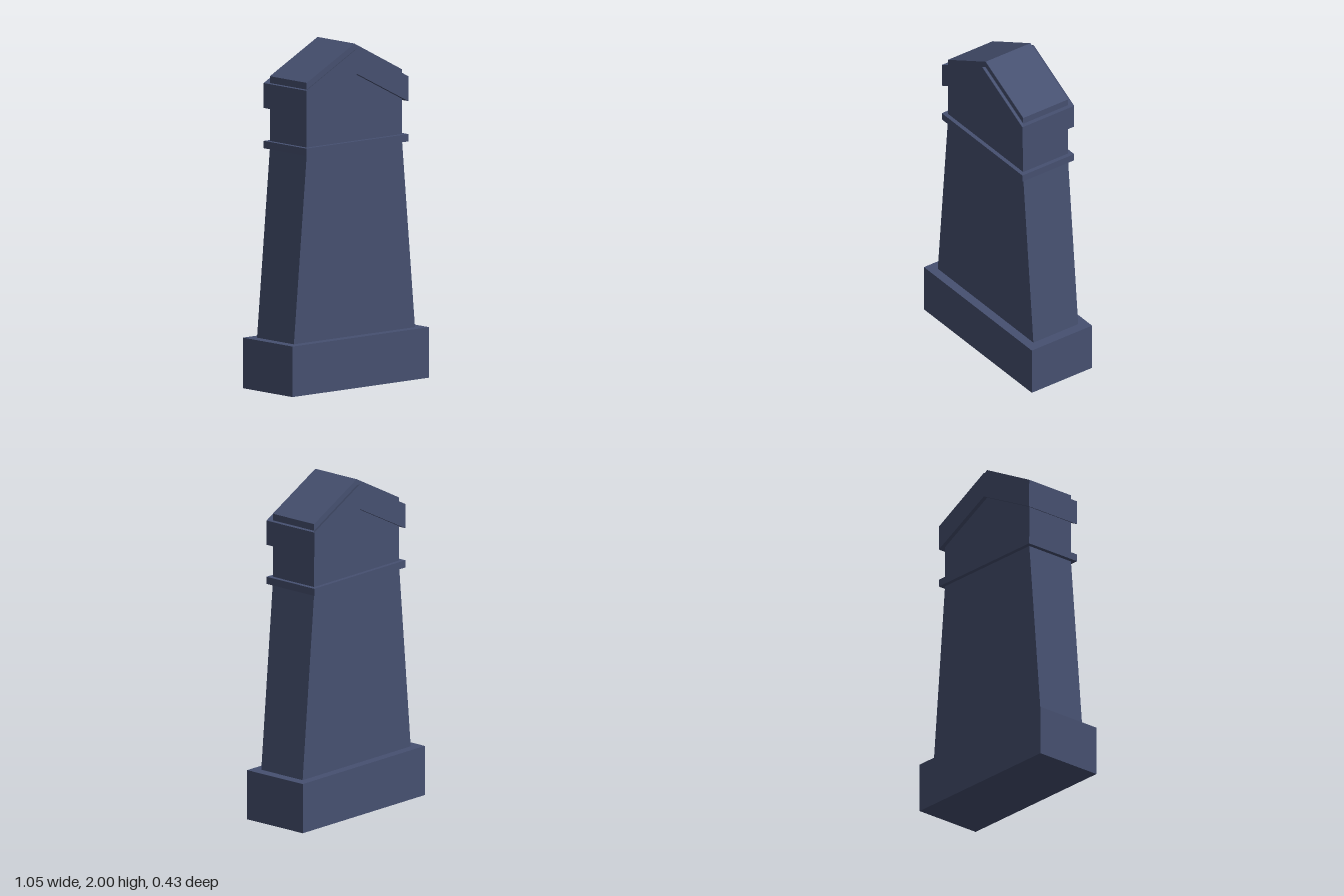
import * as THREE from 'three';

export function createModel() {
  const group = new THREE.Group();
  const stone = new THREE.MeshStandardMaterial({ color: 0x465070 });
  stone.name = 'slateBlueStone';

  const add = (name, geometry, y = 0) => {
    const mesh = new THREE.Mesh(geometry, stone);
    mesh.name = name;
    mesh.position.y = y;
    group.add(mesh);
  };

  // Plinth block
  add('plinth', new THREE.BoxGeometry(1.052, 0.295, 0.43), 0.1475);

  // Tapered slab with an upright neck and a gabled top
  const half = [[0.466, 0.295], [0.367, 1.39], [0.367, 1.81]];
  const outline = [...half, [0, 2], ...half.map(([x, y]) => [-x, y]).reverse()];
  const shape = new THREE.Shape(outline.map(([x, y]) => new THREE.Vector2(x, y)));
  const slab = new THREE.ExtrudeGeometry(shape, { depth: 0.32, bevelEnabled: false });
  slab.translate(0, 0, -0.16);
  add('slab', slab);

  // Narrow band around the neck
  add('neckBand', new THREE.BoxGeometry(0.786, 0.043, 0.37), 1.411);

  // Gabled cornice: a ring whose four edge loops follow the roof slope
  const plan = [[1, 1], [1, -1], [0, -1], [-1, -1], [-1, 1], [0, 1]];
  const loop = (w, d, peak, slope) =>
    plan.map(([x, z]) => [x * w, peak - slope * Math.abs(x * w), z * d]);
  const loops = [
    loop(0.365, 0.158, 1.825, 0.51), // inner bottom
    loop(0.393, 0.185, 1.825, 0.51), // outer bottom
    loop(0.393, 0.185, 1.975, 0.522), // outer top
    loop(0.365, 0.158, 1.961, 0.522), // inner top
  ];
  const points = [];
  for (let k = 0; k < 3; k++) {
    for (let i = 0; i < 6; i++) {
      const j = (i + 1) % 6;
      const [a, b, c, d] = [loops[k][i], loops[k][j], loops[k + 1][j], loops[k + 1][i]];
      points.push(...a, ...b, ...c, ...a, ...c, ...d);
    }
  }
  const cornice = new THREE.BufferGeometry();
  cornice.setAttribute('position', new THREE.Float32BufferAttribute(points, 3));
  cornice.computeVertexNormals();
  add('gableCornice', cornice);

  return group;
}
